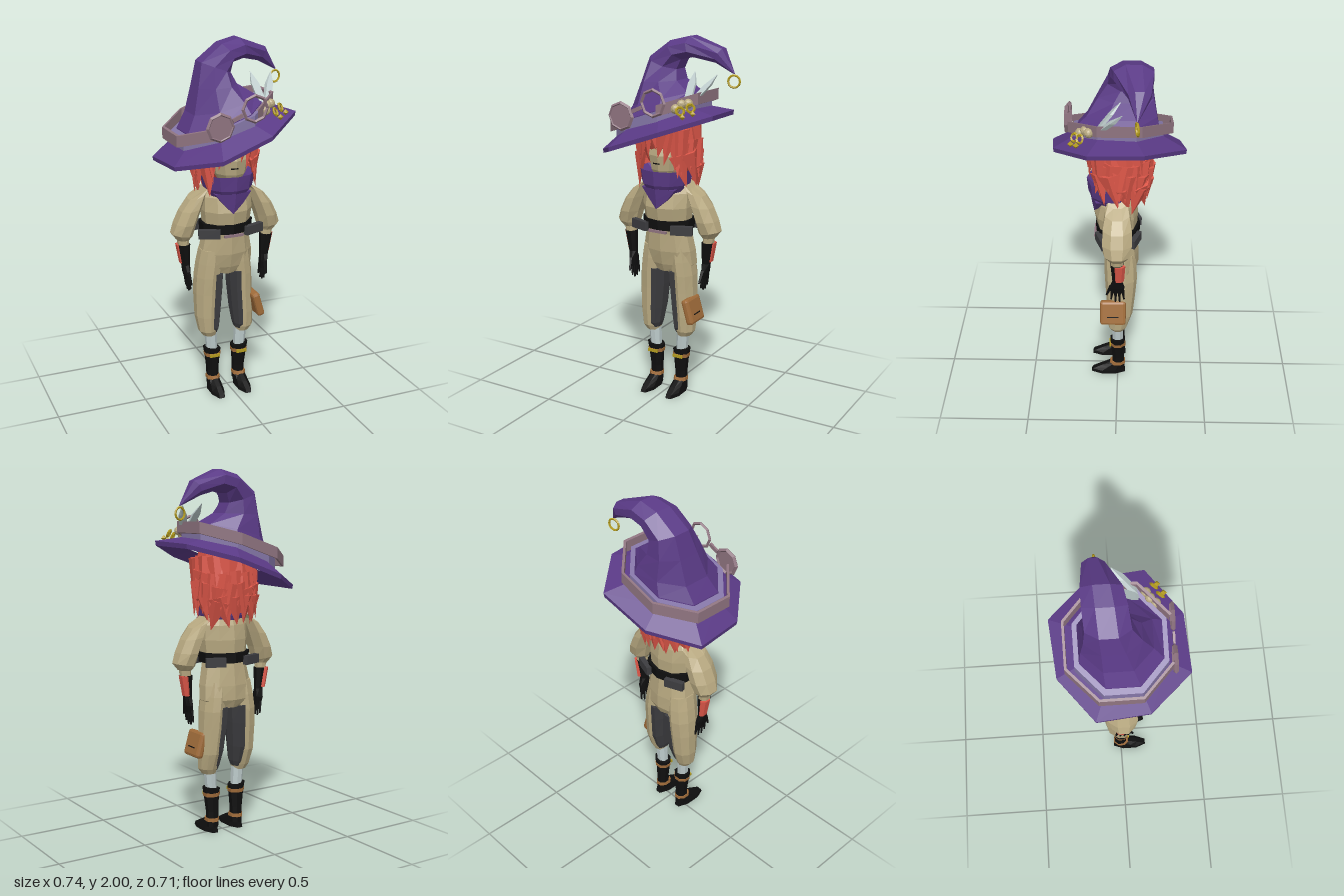
import * as THREE from 'three';
import { RoundedBoxGeometry } from 'three/addons/geometries/RoundedBoxGeometry.js';

const mat = (name, color) => {
  const m = new THREE.MeshStandardMaterial({ color });
  m.name = name;
  return m;
};

export function createModel() {
  const purple = mat('purple cloth', 0x5a3a86), tan = mat('tan cloth and skin', 0xb8a981);
  const red = mat('red hair', 0xdc5648), black = mat('black leather', 0x0f0f0f);
  const grey = mat('dark grey', 0x3d3d40), mauve = mat('mauve strap', 0x8f7480);
  const lavender = mat('lavender band', 0x8577a8), pale = mat('pale feather', 0xbccaca);
  const gold = mat('gold', 0xb59d20), brown = mat('brown leather', 0xa06c3a);

  const model = new THREE.Group();
  model.name = 'witch';

  // Adds a mesh with faceted normals
  const add = (name, geo, material, pos = [0, 0, 0], rot = [0, 0, 0], order = 'XYZ') => {
    const g = geo.index ? geo.toNonIndexed() : geo;
    g.computeVertexNormals();
    const mesh = new THREE.Mesh(g, material);
    mesh.name = name;
    mesh.position.set(...pos);
    mesh.rotation.set(...rot, order);
    model.add(mesh);
    return mesh;
  };

  // Skins elliptical sections [x, y, z, rx, rz, tilt], listed from the bottom up.
  // wave makes every second corner longer; gap leaves one side open.
  const loft = (name, material, sections, sides = 8, { caps = true, wave = 0, gap = -1 } = {}) => {
    const rings = sections.map(([x, y, z, rx, rz, t = 0]) =>
      Array.from({ length: sides }, (_, j) => {
        const a = ((j + 0.5) / sides) * Math.PI * 2, w = 1 + (j % 2 ? -wave : wave);
        const u = rx * w * Math.cos(a);
        return [x + u * Math.cos(t), y + u * Math.sin(t), z + rz * w * Math.sin(a)];
      }));
    const p = [], last = rings.length - 1;
    for (let j = 0; j < sides; j++) {
      if (j === gap) continue;
      const k = (j + 1) % sides;
      for (let i = 0; i < last; i++) {
        const a = rings[i][j], b = rings[i][k], c = rings[i + 1][j], d = rings[i + 1][k];
        p.push(...a, ...c, ...b, ...b, ...c, ...d);
      }
      if (caps) {
        p.push(...sections[0].slice(0, 3), ...rings[0][j], ...rings[0][k]);
        p.push(...sections[last].slice(0, 3), ...rings[last][k], ...rings[last][j]);
      }
    }
    const g = new THREE.BufferGeometry();
    g.setAttribute('position', new THREE.Float32BufferAttribute(p, 3));
    return add(name, g, material);
  };
  const box = (w, h, d) => new THREE.BoxGeometry(w, h, d);

  // Hat: everything near the brim lies on one slanted plane
  const slope = 0.35, lean = Math.atan(slope);
  const onHat = (x, h, z, r, rz = r) => [x, 1.495 + slope * x + h, z, r / Math.cos(lean), rz, lean];
  loft('hatBrim', purple, [onHat(-0.03, 0.045, 0, 0.24), onHat(-0.02, -0.012, 0, 0.366),
    onHat(-0.02, 0.012, 0, 0.37), onHat(-0.035, 0.08, 0, 0.24)], 8, { caps: false, wave: 0.035 });
  loft('hatCrown', purple, [
    onHat(-0.04, 0.05, 0, 0.24, 0.23), onHat(-0.04, 0.13, 0, 0.232, 0.228),
    [-0.035, 1.67, -0.02, 0.19, 0.195, 0.26], [-0.06, 1.765, -0.04, 0.117, 0.155, 0.05],
    [-0.055, 1.855, -0.06, 0.094, 0.122, -0.35], [0.015, 1.925, -0.07, 0.063, 0.118, -1.0],
    [0.1, 1.945, -0.08, 0.06, 0.108, -1.38], [0.24, 1.9, -0.11, 0.045, 0.06, -2.05],
    [0.327, 1.81, -0.1, 0.003, 0.003, -2.3]]);
  const hoop = (name, material, x, z, r, rz, h0, h1, t, gap) => loft(name, material, [
    onHat(x, h0, z, r - t, rz - t), onHat(x, h0, z, r, rz), onHat(x, h1, z, r, rz),
    onHat(x, h1, z, r - t, rz - t), onHat(x, h0, z, r - t, rz - t)], 8, { caps: false, gap });
  hoop('hatBand', lavender, -0.043, 0, 0.262, 0.254, 0.06, 0.125, 0.035);
  hoop('goggleStrap', mauve, -0.05, -0.012, 0.295, 0.295, 0.095, 0.155, 0.014, 1);

  // Goggles on the front of the strap
  add('goggleRim', new THREE.TorusGeometry(0.068, 0.011, 4, 8), mauve, [-0.145, 1.6, 0.262]);
  add('goggleLens', new THREE.CylinderGeometry(0.066, 0.066, 0.008, 8), mauve, [-0.145, 1.6, 0.264], [Math.PI / 2, 0, 0]);
  add('goggleRim', new THREE.TorusGeometry(0.068, 0.009, 4, 8), mauve, [0.047, 1.682, 0.26]);
  add('goggleBridge', box(0.06, 0.02, 0.012), mauve, [-0.05, 1.642, 0.262], [0, 0, 0.42]);

  // Hat trinkets
  add('tipRing', new THREE.TorusGeometry(0.032, 0.006, 5, 12), gold, [0.325, 1.77, -0.1], [0, 0.2, 0]);
  for (const [x, y, z, rx, rz] of [[0.14, 1.82, -0.015, 0.029, 0.012], [0.265, 1.81, -0.025, 0.024, 0.02]]) {
    const at = (f) => [0.165 + (x - 0.165) * f, 1.64 + (y - 1.64) * f, 0.13 + (z - 0.13) * f];
    loft('feather', pale, [[...at(0), 0.005, 0.006], [...at(0.35), rx, rz],
      [...at(0.7), rx * 1.05, rz], [...at(1), 0.002, 0.003]], 4);
  }
  for (const p of [[0.138, 1.65, 0.188], [0.157, 1.672, 0.16], [0.187, 1.675, 0.142]])
    add('bead', new THREE.IcosahedronGeometry(0.026, 1), tan, p);
  for (const [x, y, z] of [[0.182, 1.645, 0.215], [0.225, 1.66, 0.185]]) {
    add('charmRing', new THREE.TorusGeometry(0.021, 0.007, 4, 8), gold, [x, y, z], [-0.6, 0.7, 0]);
    add('charmStar', new THREE.OctahedronGeometry(0.017), gold, [x + 0.022, y - 0.025, z + 0.018]);
  }

  // Head and mouth
  loft('head', tan, [[0, 1.17, 0.01, 0.05, 0.05], [0, 1.25, 0.035, 0.055, 0.07],
    [0, 1.3, 0.03, 0.09, 0.1], [0, 1.38, 0.02, 0.11, 0.122], [0, 1.48, 0, 0.11, 0.11]], 10);
  add('mouth', box(0.04, 0.006, 0.006), black, [-0.01, 1.338, 0.134]);

  // Hair: a cap with layers of pointed locks
  loft('hairCap', red, [[-0.01, 1.24, -0.08, 0.1, 0.07], [-0.01, 1.33, -0.05, 0.155, 0.12],
    [-0.01, 1.4, -0.025, 0.165, 0.14], [-0.01, 1.47, 0, 0.162, 0.158], [-0.01, 1.6, -0.01, 0.14, 0.14]], 12);
  let seed = 7;
  const rand = () => (seed = (seed * 16807) % 2147483647) / 2147483647;
  const lock = (a, top, len, r, out, spread) => {
    const g = new THREE.ConeGeometry(r, len, 4).rotateX(Math.PI).scale(1, 1, 0.5);
    add('hairLock', g, red, [-0.01 + Math.sin(a) * spread, top - len / 2, -0.01 + Math.cos(a) * spread],
      [-out, a, (rand() - 0.5) * 0.6], 'YXZ');
  };
  for (const [top, len, n, gap, out, spread] of [[1.52, 0.18, 11, 0.9, 0.22, 0.158],
    [1.44, 0.19, 12, 0.85, 0.14, 0.163], [1.38, 0.18, 11, 0.95, 0.04, 0.163], [1.31, 0.16, 8, 1.8, -0.08, 0.152]])
    for (let i = 0; i < n; i++) {
      const a = gap + (i / (n - 1)) * (Math.PI * 2 - gap * 2);
      lock(a, top + rand() * 0.03, len * (0.85 + rand() * 0.3), 0.054 + rand() * 0.014, out, spread);
    }
  // Fringe, longer towards the temples
  for (let i = 0; i < 9; i++) {
    const a = -0.9 + i * 0.225;
    lock(a, 1.52 + rand() * 0.015, 0.115 + Math.abs(a) * 0.17, 0.046, -0.02, 0.172);
  }

  // Cowl, torso and hips sit slightly off centre
  const midline = -0.01;
  const trunk = (...args) => { loft(...args).position.x = midline; };
  trunk('cowl', purple, [[0, 1.16, 0.025, 0.095, 0.1], [0, 1.22, 0.03, 0.135, 0.13],
    [0, 1.3, 0.03, 0.152, 0.138], [0, 1.27, 0.03, 0.115, 0.108], [0, 1.2, 0.03, 0.06, 0.06]], 10);
  trunk('cowlPoint', purple, [[-0.005, 1.088, 0.125, 0.004, 0.006], [0, 1.14, 0.1, 0.065, 0.04],
    [0, 1.2, 0.08, 0.12, 0.07]], 6);
  trunk('shirt', tan, [[0, 0.94, 0, 0.125, 0.1], [0, 1.01, 0.005, 0.135, 0.11], [0, 1.09, 0.01, 0.145, 0.12],
    [0, 1.17, 0.005, 0.14, 0.105], [0, 1.225, 0, 0.11, 0.08], [0, 1.25, 0, 0.06, 0.06]], 10);
  trunk('hips', tan, [[0, 0.715, -0.02, 0.1, 0.075], [0, 0.76, -0.02, 0.16, 0.095],
    [0, 0.84, -0.01, 0.154, 0.105], [0, 0.97, 0, 0.128, 0.1]], 10);

  // Belt, buckle and pouches
  trunk('belt', black, [[0, 0.965, 0, 0.147, 0.12], [0, 1.02, 0, 0.152, 0.122]], 10);
  add('buckle', box(0.11, 0.014, 0.012), mauve, [midline, 0.96, 0.124]);
  for (const s of [-1, 1]) {
    add('frontPouch', box(0.12, 0.05, 0.03), grey, [midline + s * 0.13, 0.975, 0.09], [0, s * 0.35, 0]);
    add('backPouch', box(0.11, 0.05, 0.03), grey, [midline + s * 0.115, 0.975, -0.098], [0, -s * 0.35, 0]);
  }

  for (const s of [-1, 1]) {
    const limb = (name, m, secs, sides) =>
      loft(name, m, secs.map(([x, y, z, rx, rz, t = 0]) => [midline + s * x, y, z, rx, rz, s * t]), sides);

    // Arm with puffed sleeve, glove and red forearm panel
    limb('sleeve', tan, [[0.25, 0.935, 0, 0.038, 0.045], [0.258, 0.965, 0, 0.062, 0.068, 0.15],
      [0.238, 1.03, 0, 0.062, 0.085, 0], [0.205, 1.11, 0, 0.064, 0.084, -0.2],
      [0.167, 1.18, 0, 0.057, 0.07, -0.4], [0.12, 1.222, 0, 0.042, 0.055, -0.7]]);
    limb('forearm', tan, [[0.246, 0.88, 0, 0.03, 0.033], [0.252, 0.95, 0, 0.033, 0.036]]);
    limb('glove', black, [[0.226, 0.7, 0, 0.014, 0.038], [0.232, 0.74, 0, 0.02, 0.043],
      [0.236, 0.785, 0, 0.024, 0.027], [0.246, 0.905, 0, 0.036, 0.038]]);
    limb('forearmPanel', red, [[0.25, 0.795, -0.01, 0.018, 0.028], [0.264, 0.905, -0.01, 0.025, 0.035]], 6);
    for (let i = 0; i < 4; i++) {
      const z = 0.027 - i * 0.019, tip = i === 0 || i === 3 ? 0.648 : 0.632;
      limb('finger', black, [[0.222, tip, z * 1.25, 0.005, 0.005], [0.228, 0.715, z, 0.011, 0.01]], 5);
    }
    limb('thumb', black, [[0.224, 0.68, 0.058, 0.006, 0.006], [0.232, 0.75, 0.03, 0.012, 0.013]], 5);

    // Trouser leg with dark inner panel; the bag side is drawn in
    const slim = s > 0 ? 0.01 : 0;
    const leg = [[0.1, 0.34, 0, 0.04, 0.04], [0.107, 0.37, 0, 0.055, 0.055],
      [0.11 - slim / 2, 0.46, -0.012, 0.068 - slim / 2, 0.073],
      [0.106 - slim, 0.6, -0.017, 0.076 - slim, 0.083], [0.102 - slim, 0.7, -0.018, 0.076 - slim, 0.09],
      [0.092 - slim, 0.78, -0.015, 0.075 - slim, 0.09], [0.085 - slim, 0.86, -0.01, 0.066 - slim, 0.085]];
    limb('trouserLeg', tan, leg, 10);
    limb('innerLegPanel', grey, leg.slice(0, 5).map(([x, y, z, rx, rz]) =>
      [x - rx * 0.56, y + 0.02, z, rx * 0.56, rz * 1.05]), 8);

    // Sock and boot
    limb('sock', pale, [[0.083, 0.22, 0, 0.032, 0.032], [0.092, 0.36, 0, 0.036, 0.036]]);
    limb('bootShaft', black, [[0.08, 0.03, -0.003, 0.034, 0.04], [0.08, 0.12, -0.003, 0.035, 0.037],
      [0.082, 0.2, 0, 0.043, 0.041], [0.084, 0.255, 0, 0.052, 0.046, 0.15]]);
    limb('bootFoot', black, [[0.082, 0, 0.055, 0.041, 0.108], [0.082, 0.018, 0.053, 0.039, 0.102],
      [0.081, 0.045, 0.03, 0.035, 0.072], [0.08, 0.075, 0, 0.031, 0.038]]);
    limb('ankleStrap', brown, [[0.08, 0.062, 0.003, 0.04, 0.05], [0.08, 0.082, 0, 0.039, 0.045]]);
    limb('topStrap', brown, [[0.082, 0.206, 0, 0.047, 0.045], [0.082, 0.227, 0, 0.05, 0.047]]);
    add('bootClasp', box(0.06, 0.018, 0.008), gold, [midline + s * 0.082, 0.217, 0.044]);
  }

  // Hip bag
  const bagTurn = [0, 0, 0.28];
  add('bag', new RoundedBoxGeometry(0.045, 0.145, 0.145, 1, 0.015), brown, [0.158, 0.51, 0.025], bagTurn);
  add('bagClasp', box(0.004, 0.007, 0.065), black, [0.184, 0.495, 0.027], bagTurn);

  return model;
}
